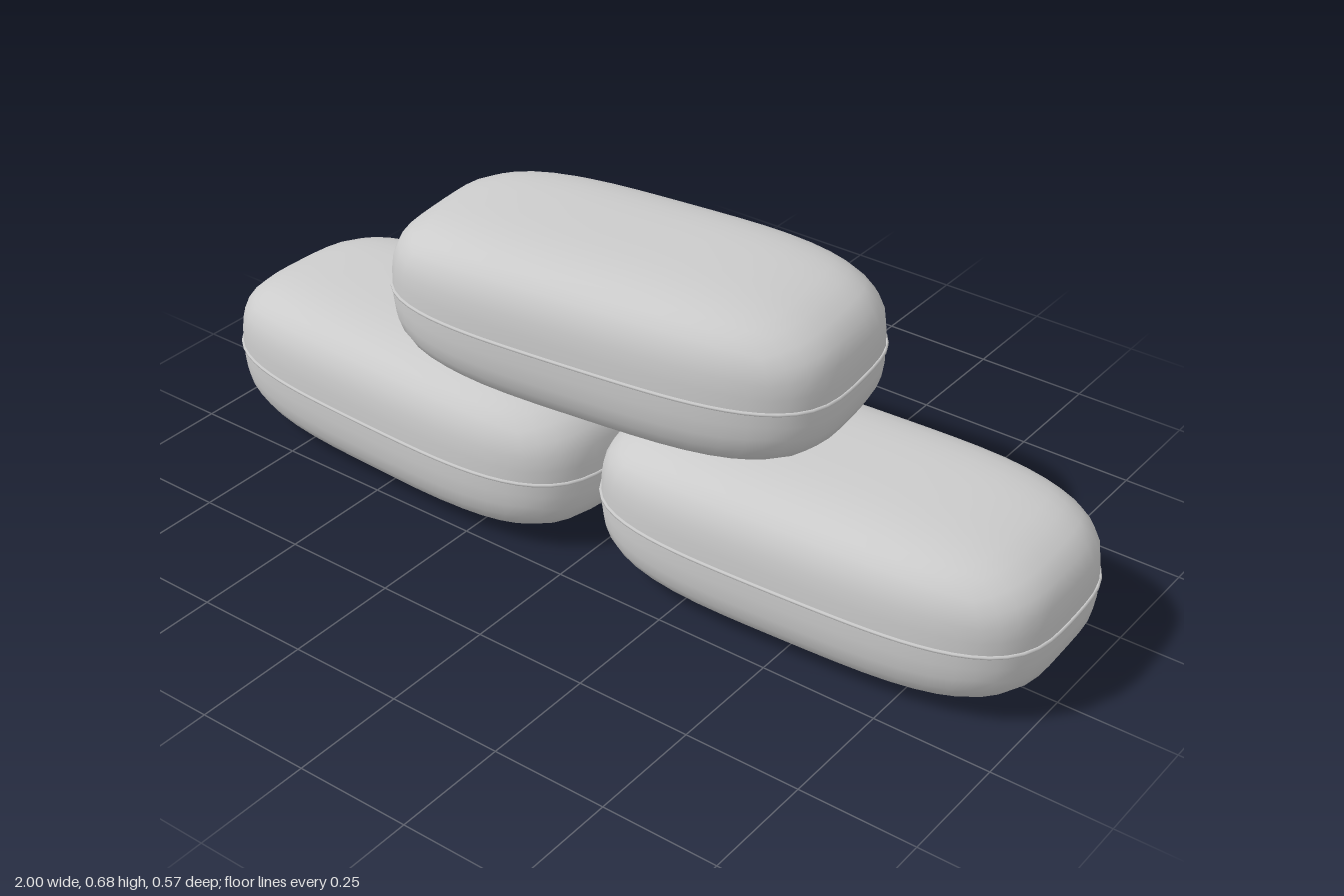
import * as THREE from 'three';
import { mergeVertices } from 'three/addons/utils/BufferGeometryUtils.js';

const POWER = 3.5; // squareness of the stuffed bag
const material = new THREE.MeshStandardMaterial({ color: 0xcccccc });

// Plump pillow: a subdivided cube pulled onto a superellipsoid
function pillowGeometry(hx, hy, hz) {
  const box = new THREE.BoxGeometry(2, 2, 2, 14, 10, 12);
  box.deleteAttribute('uv');
  box.deleteAttribute('normal');
  const geometry = mergeVertices(box);
  const pos = geometry.attributes.position;
  const v = new THREE.Vector3();
  for (let i = 0; i < pos.count; i++) {
    v.fromBufferAttribute(pos, i);
    const sum = v.toArray().reduce((s, c) => s + Math.abs(c) ** POWER, 0);
    v.multiplyScalar(sum ** (-1 / POWER));
    pos.setXYZ(i, v.x * hx, v.y * hy, v.z * hz);
  }
  geometry.computeVertexNormals();
  return geometry;
}

// Thin stitched ridge following the widest outline of the bag
function seamGeometry(hx, hz) {
  const points = [];
  const bend = (c) => Math.sign(c) * Math.abs(c) ** (2 / POWER);
  for (let i = 0; i < 40; i++) {
    const a = ((i + 0.5) / 40) * Math.PI * 2;
    points.push(new THREE.Vector3(bend(Math.cos(a)) * hx, 0, bend(Math.sin(a)) * hz));
  }
  const path = new THREE.CatmullRomCurve3(points, true);
  return new THREE.TubeGeometry(path, 80, 0.004, 6, true);
}

function makeBag(name, [x, y, z], yaw, [hx, hy, hz]) {
  const bag = new THREE.Group();
  bag.name = name;
  const body = new THREE.Mesh(pillowGeometry(hx, hy, hz), material);
  body.name = 'bagBody';
  const seam = new THREE.Mesh(seamGeometry(hx + 0.001, hz + 0.001), material);
  seam.name = 'bagSeam';
  bag.add(body, seam);
  bag.position.set(x, y, z);
  bag.rotation.y = yaw;
  return bag;
}

export function createModel() {
  const model = new THREE.Group();
  model.name = 'sandbagStack';
  model.add(
    makeBag('lowerRightBag', [-0.497, 0.175, 0.008], -0.045, [0.498, 0.174, 0.262]),
    makeBag('lowerLeftBag', [0.497, 0.175, -0.023], 0.04, [0.498, 0.174, 0.26]),
    makeBag('upperBag', [-0.002, 0.505, 0], 0.11, [0.505, 0.174, 0.255]),
  );
  return model;
}
